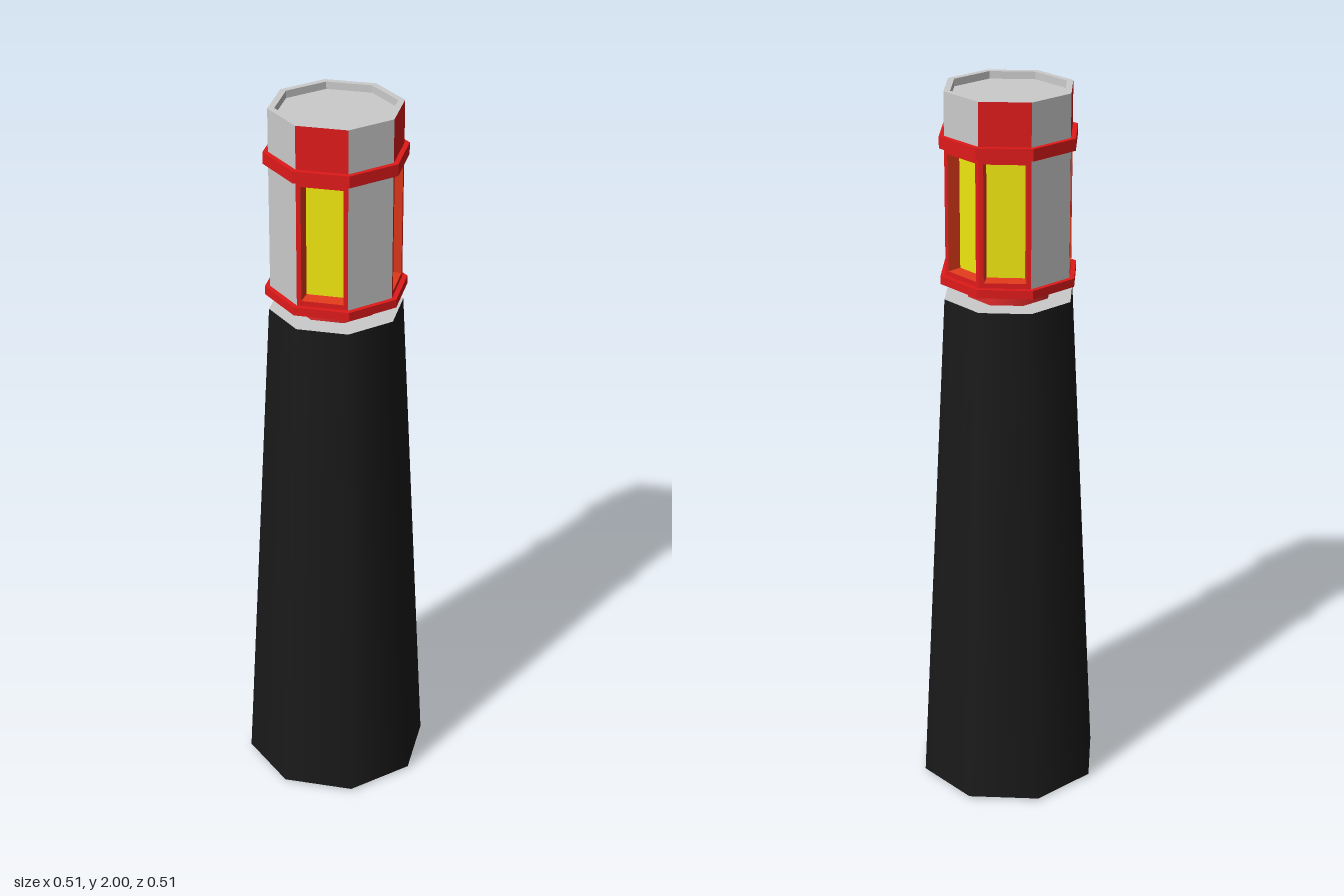
import * as THREE from 'three';

const SIDES = 8;
const R = 0.176;                                   // lantern corner radius
const APOTHEM = R * Math.cos(Math.PI / SIDES);
const HALF = R * Math.sin(Math.PI / SIDES);        // half width of one lantern side

const mat = (color, flat = true) =>
  new THREE.MeshStandardMaterial({ color, flatShading: flat, side: THREE.DoubleSide });
const grey = mat(0xcccccc);
const red = mat(0xe01a1a);
const orange = mat(0xe23a1a);
const yellow = mat(0xf0e810);
const black = mat(0x1a1a1a, false);
const redSmooth = mat(0xe02a2a, false);

function add(parent, name, geometry, material, y = 0, z = 0) {
  const mesh = new THREE.Mesh(geometry, material);
  mesh.name = name;
  mesh.position.set(0, y, z);
  parent.add(mesh);
  return mesh;
}

// Octagonal prism or cone between two heights
function prism(rTop, rBottom, y0, y1, open = false) {
  return new THREE.CylinderGeometry(rTop, rBottom, y1 - y0, SIDES, 1, open)
    .translate(0, (y0 + y1) / 2, 0);
}

// Octagonal surface from [radius, height] points
const lathe = (points) =>
  new THREE.LatheGeometry(points.map(([r, y]) => new THREE.Vector2(r, y)), SIDES);

const rectPoints = (w, h) => [[-w, -h], [w, -h], [w, h], [-w, h]].map(([x, y]) => new THREE.Vector2(x, y));

// Four sloping sides joining a front rectangle to a smaller one behind it
function revealGeometry(w0, h0, w1, h1, depth) {
  const front = rectPoints(w0, h0), back = rectPoints(w1, h1), pos = [];
  for (let i = 0; i < 4; i++) {
    const j = (i + 1) % 4;
    const a = [front[i].x, front[i].y, 0], b = [front[j].x, front[j].y, 0];
    const c = [back[j].x, back[j].y, -depth], d = [back[i].x, back[i].y, -depth];
    pos.push(...a, ...b, ...c, ...a, ...c, ...d);
  }
  const g = new THREE.BufferGeometry();
  g.setAttribute('position', new THREE.Float32BufferAttribute(pos, 3));
  g.computeVertexNormals();
  return g;
}

// Red frame, orange reveal and yellow pane set back in it
function addWindow(side, height) {
  const w = 0.055, h = height / 2 - 0.014, depth = 0.036, pw = 0.05, ph = h - 0.003;
  const shape = new THREE.Shape(rectPoints(HALF, height / 2));
  shape.holes.push(new THREE.Path(rectPoints(w, h).reverse()));
  add(side, 'windowFrame', new THREE.ShapeGeometry(shape), red);
  add(side, 'windowReveal', revealGeometry(w, h, pw, ph, depth), orange);
  add(side, 'windowPane', new THREE.PlaneGeometry(pw * 2, ph * 2), yellow, 0, -depth);
}

export function createModel() {
  const model = new THREE.Group();
  model.name = 'lighthouse';

  // Tapered tower, hollow from below
  const tower = new THREE.Group();
  tower.name = 'tower';
  model.add(tower);
  add(tower, 'towerWall', prism(0.18, 0.255, 0.006, 1.44, true), black);
  add(tower, 'towerInside', prism(0.14, 0.203, 0, 1.4, true), black);
  add(tower, 'towerInsideCeiling', lathe([[0, 1.4], [0.14, 1.4]]), black);
  add(tower, 'towerFoot', lathe([[0.203, 0], [0.255, 0.006]]), grey);
  add(tower, 'towerTop', lathe([[0.18, 1.44], [0, 1.44]]), grey);

  // Neck and the two rings around the lantern
  add(model, 'neck', prism(0.115, 0.115, 1.44, 1.485), redSmooth);
  add(model, 'lowerRing', prism(0.19, 0.19, 1.484, 1.507), red);
  add(model, 'upperRing', prism(0.19, 0.19, 1.852, 1.884), red);

  // Lantern sides, counted from the front towards +x: windows or plain panels
  const y0 = 1.507, y1 = 1.852, yTop = 2;
  const windows = [true, true, true, false, true, false, true, false];
  windows.forEach((isWindow, i) => {
    const angle = (i + 0.5) * (Math.PI * 2 / SIDES);
    const side = new THREE.Group();
    side.name = 'lanternSide';
    side.position.set(Math.sin(angle) * APOTHEM, (y0 + y1) / 2, Math.cos(angle) * APOTHEM);
    side.rotation.y = angle;
    model.add(side);
    if (isWindow) addWindow(side, y1 - y0);
    else add(side, 'plainPanel', new THREE.PlaneGeometry(HALF * 2, y1 - y0), grey);

    // Crown band, alternating red and grey
    const bandBottom = 1.884;
    add(side, 'crownPanel', new THREE.PlaneGeometry(HALF * 2, yTop - bandBottom),
      i % 2 ? grey : red, (yTop + bandBottom) / 2 - side.position.y);
  });

  // Flat roof, sunk inside a narrow rim
  add(model, 'roof', lathe([[R, yTop], [0.158, yTop], [0.158, yTop - 0.02], [0, yTop - 0.02]]), grey);

  return model;
}
